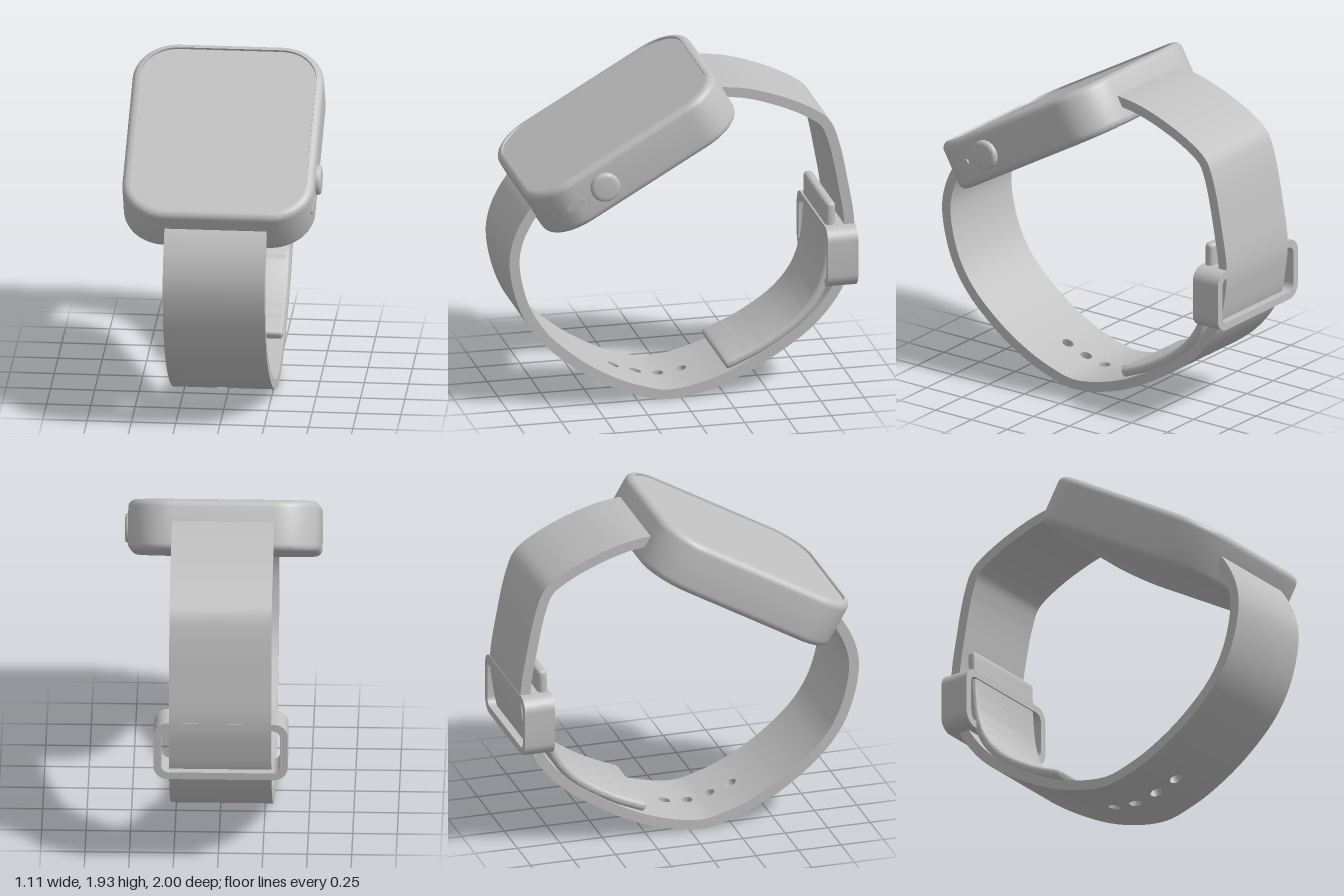
import * as THREE from 'three';
import { mergeGeometries, toCreasedNormals } from 'three/addons/utils/BufferGeometryUtils.js';

const grey = new THREE.MeshStandardMaterial({ color: 0xc0c0c0 });
grey.name = 'satin grey';

const STRAP_W = 0.575, STRAP_T = 0.058;

// Counter-clockwise outline of a rounded rectangle
function roundRect(w, h, r, n = 10) {
  const pts = [];
  [[1, 1], [-1, 1], [-1, -1], [1, -1]].forEach(([sx, sy], k) => {
    for (let i = 0; i <= n; i++) {
      const a = (k + i / n) * Math.PI / 2;
      pts.push(new THREE.Vector2(sx * (w / 2 - r) + r * Math.cos(a), sy * (h / 2 - r) + r * Math.sin(a)));
    }
  });
  return pts;
}

// Side path through [z, y] points
function sidePath(points) {
  const c = new THREE.CatmullRomCurve3(points.map(([z, y]) => new THREE.Vector3(0, y, z)), false, 'centripetal');
  c.arcLengthDivisions = 600;
  return c;
}

// Bend a straight part (x across, y thickness, z length) along a path
function bend(geo, path) {
  const g = geo.index ? geo.toNonIndexed() : geo;
  const p = g.attributes.position, L = path.getLength();
  for (let i = 0; i < p.count; i++) {
    const s = p.getZ(i), t = p.getY(i);
    const u = THREE.MathUtils.clamp(s / L, 0, 1), over = s - u * L;
    const c = path.getPointAt(u), d = path.getTangentAt(u);
    p.setXYZ(i, p.getX(i), c.y + t * d.z + over * d.y, c.z - t * d.y + over * d.z);
  }
  return g;
}

function mesh(name, geo, crease = 0.6) {
  const m = new THREE.Mesh(toCreasedNormals(geo, crease), grey);
  m.name = name;
  return m;
}

// Rounded slab with a shallow recess on top for the display
function caseGeometry() {
  const W = 1.08, L = 1.27, T = 0.29, R = 0.25, f = 0.042, steps = 6;
  const profile = [];
  for (let side = -1; side <= 1; side += 2) {
    for (let i = 0; i <= steps; i++) {
      const a = (side < 0 ? 1 - i / steps : i / steps) * Math.PI / 2;
      profile.push([f * (1 - Math.cos(a)), side * (T / 2 - f + f * Math.sin(a))]);
    }
  }
  profile.push([f + 0.002, T / 2 - 0.012]);
  const pos = [], idx = [];
  for (const [inset, z] of profile) {
    for (const v of roundRect(W - 2 * inset, L - 2 * inset, R - inset, 14)) pos.push(v.x, v.y, z);
  }
  const n = pos.length / 3 / profile.length, rows = profile.length;
  for (let i = 0; i < rows - 1; i++) {
    for (let j = 0; j < n; j++) {
      const a = i * n + j, b = i * n + (j + 1) % n;
      idx.push(a, b, b + n, a, b + n, a + n);
    }
  }
  const low = pos.length / 3;
  pos.push(0, 0, -T / 2);
  for (let j = 0; j < n; j++) idx.push(low, (j + 1) % n, j);
  const g = new THREE.BufferGeometry();
  g.setAttribute('position', new THREE.Float32BufferAttribute(pos, 3));
  g.setIndex(idx);
  return g;
}

// Main strap with a row of punched holes along its lowest stretch
function strapGeometry() {
  const path = sidePath([
    [0.81, 1.24], [0.862, 1.18], [0.938, 1.04], [0.967, 0.89], [0.915, 0.635], [0.81, 0.45], [0.605, 0.26],
    [0.395, 0.132], [0.238, 0.069], [0.07, 0.033], [-0.245, 0.1], [-0.595, 0.285], [-0.777, 0.43],
    [-0.912, 0.62], [-0.955, 0.8], [-0.969, 0.965], [-0.935, 1.2], [-0.877, 1.47], [-0.83, 1.58],
    [-0.745, 1.645], [-0.6, 1.718], [-0.39, 1.79], [-0.25, 1.812], [-0.2, 1.815]]);
  const L = path.getLength(), pitch = 0.14, count = 4, half = 0.06;
  let s0 = 0.5;
  while (path.getPointAt(s0 / L).z > 0.34) s0 += 0.005;
  const a = s0 - pitch / 2, b = a + pitch * count;
  const parts = [];
  const slab = (w, x, from, to) => {
    const g = new THREE.BoxGeometry(w, STRAP_T, to - from, 1, 1, Math.ceil((to - from) / 0.025));
    parts.push(bend(g.translate(x, 0, (from + to) / 2), path));
  };
  slab(STRAP_W, 0, 0, a);
  slab(STRAP_W, 0, b, L);
  const sideW = STRAP_W / 2 - half;
  for (const s of [-1, 1]) slab(sideW, s * (half + sideW / 2), a, b);
  // One pierced cell per hole
  for (let k = 0; k < count; k++) {
    const pts = [];
    for (let i = 0; i <= 6; i++) pts.push(new THREE.Vector2(half, pitch * (i / 6 - 0.5)));
    for (let i = 6; i >= 0; i--) pts.push(new THREE.Vector2(-half, pitch * (i / 6 - 0.5)));
    const shape = new THREE.Shape(pts);
    shape.holes.push(new THREE.Path().absarc(0, 0, 0.034, 0, Math.PI * 2, true));
    const g = new THREE.ExtrudeGeometry(shape, { depth: STRAP_T, bevelEnabled: false, curveSegments: 24 });
    g.translate(0, 0, -STRAP_T / 2).rotateX(Math.PI / 2).translate(0, 0, s0 + k * pitch);
    parts.push(bend(g, path));
  }
  return mergeGeometries(parts);
}

// Free end of the strap, folded back through the buckle
function flapGeometry() {
  const path = sidePath([[-0.865, 1.095], [-0.862, 0.95], [-0.855, 0.82], [-0.835, 0.68],
    [-0.78, 0.535], [-0.67, 0.402], [-0.47, 0.268], [-0.255, 0.172]]);
  const e = 0.018;
  const g = new THREE.ExtrudeGeometry(new THREE.Shape(roundRect(0.57, 0.055, 0.024, 5)), {
    depth: path.getLength() - 2 * e, steps: 50, bevelThickness: e, bevelSize: e, bevelOffset: -e, bevelSegments: 4 });
  return bend(g.translate(0, 0, e), path);
}

export function createModel() {
  const model = new THREE.Group();
  model.name = 'wristwatch';
  const body = new THREE.Group();
  body.position.x = -0.015;
  model.add(body);

  // Tilted head: case, display, side button and slot
  const head = new THREE.Group();
  head.name = 'watchHead';
  head.position.set(0, 1.51, 0.31);
  head.rotation.x = -Math.PI / 3;
  head.add(mesh('case', caseGeometry(), 0.7));

  const display = mesh('display', new THREE.ShapeGeometry(new THREE.Shape(roundRect(0.992, 1.182, 0.206, 14))));
  display.position.z = 0.133;
  head.add(display);

  const buttonProfile = [[0.083, -0.03], [0.085, 0.012], [0.082, 0.021], [0.074, 0.027], [0.06, 0.029], [0, 0.03]];
  const button = mesh('sideButton',
    new THREE.LatheGeometry(buttonProfile.map(p => new THREE.Vector2(...p)), 40), 0.8);
  button.position.set(0.54, -0.224, 0);
  button.rotation.z = -Math.PI / 2;
  head.add(button);

  const slot = mesh('sideSlot', new THREE.ExtrudeGeometry(new THREE.Shape(roundRect(0.11, 0.04, 0.0199, 6)),
    { depth: 0.009, bevelEnabled: false }).rotateX(Math.PI / 2).rotateZ(-Math.PI / 2));
  slot.position.set(0.541, -0.417, 0);
  slot.rotation.z = -0.14;
  head.add(slot);
  body.add(head);

  // Strap and its folded end
  body.add(mesh('strap', strapGeometry()));
  body.add(mesh('strapFlap', flapGeometry(), 0.8));

  // Buckle: open rounded frame
  const frame = new THREE.Shape(roundRect(0.756, 0.355, 0.08));
  frame.holes.push(new THREE.Path(roundRect(0.67, 0.269, 0.045).reverse()));
  const buckle = mesh('buckle', new THREE.ExtrudeGeometry(frame, { depth: 0.175, bevelEnabled: false }));
  buckle.position.set(-0.003, 0.7875, -1);
  body.add(buckle);
  return model;
}
